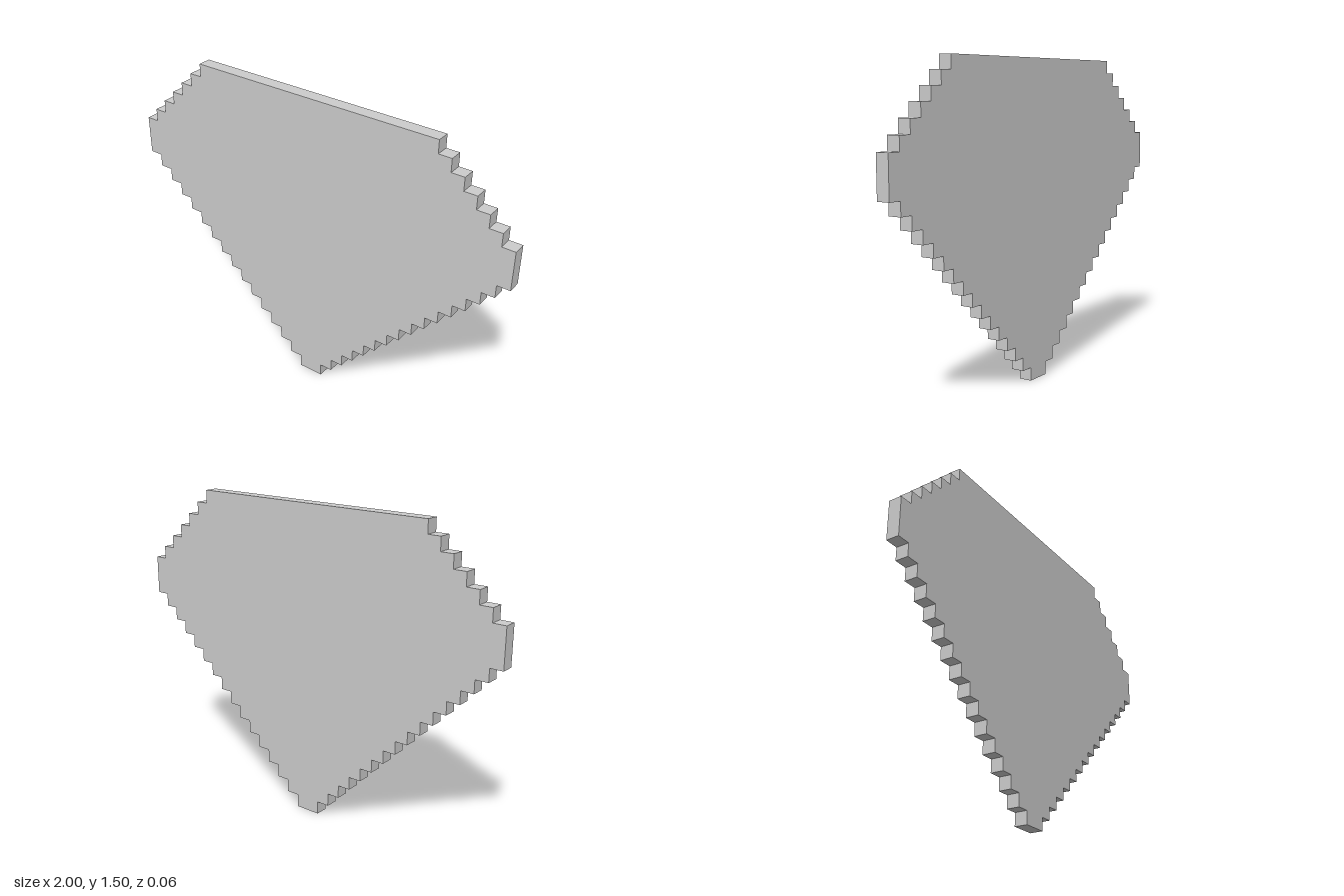
import * as THREE from 'three';

const CELL = 1 / 16; // the gem is drawn on a 32 x 24 pixel grid
const ROWS = 24;

// Half width of each pixel row, in cells: point, girdle, then crown
const halfWidth = (row) => Math.min(row + 1, 16, 33 - row);

export function createModel() {
  const group = new THREE.Group();
  group.name = 'pixelGem';

  // Stepped right edge from bottom to top, skipping rows of equal width
  const right = [];
  for (let row = 0; row < ROWS; row++) {
    const w = halfWidth(row);
    if (row === 0 || w !== halfWidth(row - 1)) right.push([w, row]);
    if (row === ROWS - 1 || w !== halfWidth(row + 1)) right.push([w, row + 1]);
  }
  // Mirror it for the left edge
  const left = right.map(([x, y]) => [-x, y]).reverse();
  const outline = [...right, ...left].map(([x, y]) => new THREE.Vector2(x * CELL, y * CELL));

  // Flat slab one cell thick
  const geometry = new THREE.ExtrudeGeometry(new THREE.Shape(outline), {
    depth: CELL,
    bevelEnabled: false,
  });
  geometry.translate(0, 0, -CELL / 2);

  const slab = new THREE.Mesh(
    geometry,
    new THREE.MeshStandardMaterial({ color: 0xcccccc, flatShading: true })
  );
  slab.name = 'gemSlab';
  group.add(slab);
  return group;
}
